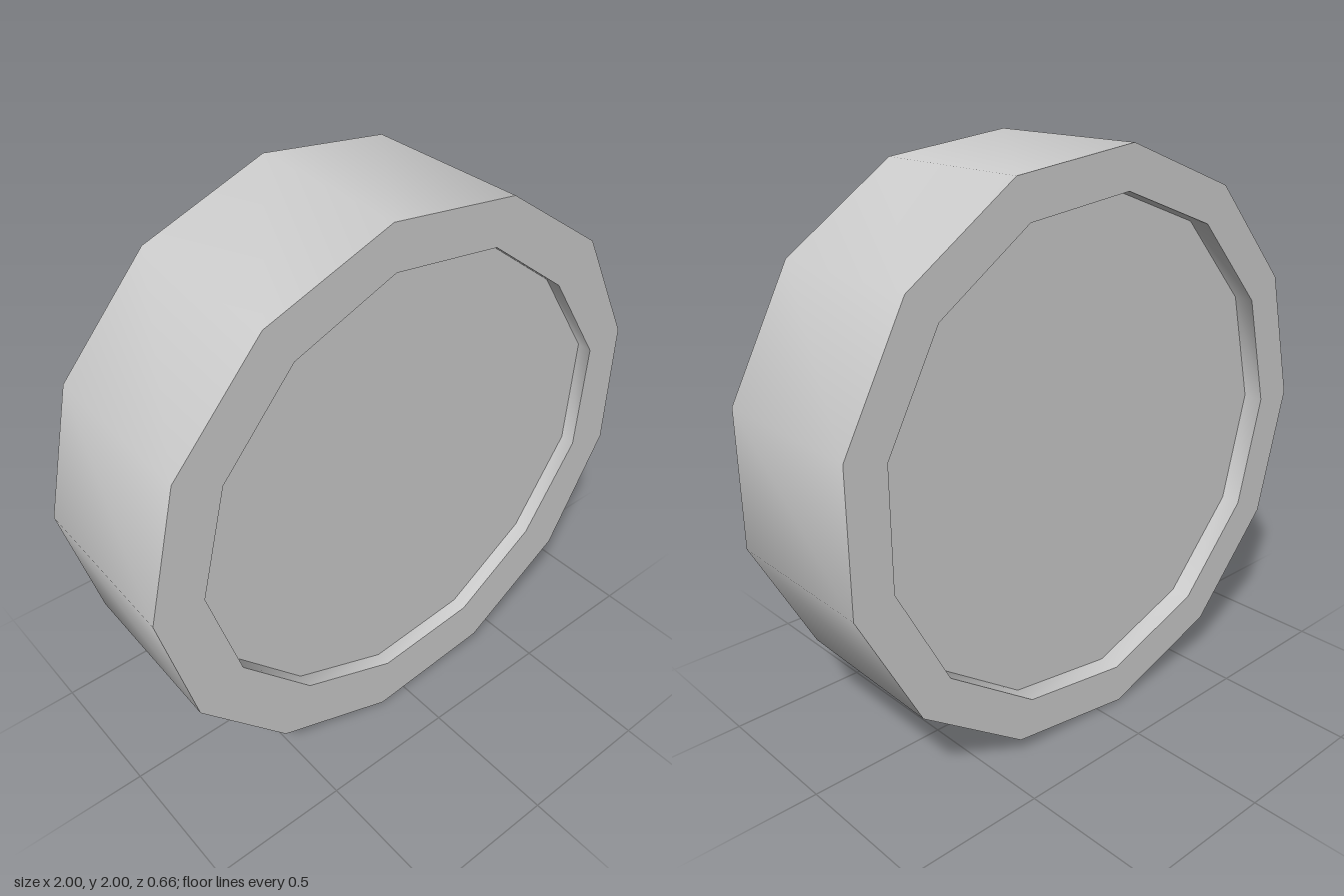
import * as THREE from 'three';

const SIDES = 13, RADIUS = 1.007, HALF = 0.31;

// regular polygon, counter-clockwise, with one corner pointing to -x
const polygon = (r) => Array.from({ length: SIDES }, (_, i) => {
  const a = Math.PI + (i / SIDES) * Math.PI * 2;
  return new THREE.Vector2(r * Math.cos(a), r * Math.sin(a));
});
const mirror = (pts) => pts.map((p) => new THREE.Vector2(-p.x, p.y)).reverse();

// smooth band around a loop: faces outward if z0 < z1, inward otherwise
function band(pts, z0, z1) {
  const pos = [], index = [], n = pts.length;
  pts.forEach((p, i) => {
    pos.push(p.x, p.y, z0, p.x, p.y, z1);
    const a = 2 * i, b = 2 * ((i + 1) % n);
    index.push(a, b, b + 1, a, b + 1, a + 1);
  });
  const g = new THREE.BufferGeometry();
  g.setAttribute('position', new THREE.Float32BufferAttribute(pos, 3));
  g.setIndex(index);
  g.computeVertexNormals();
  return g;
}

export function createModel() {
  const model = new THREE.Group();
  const disc = new THREE.Group();
  disc.name = 'disc';
  const material = new THREE.MeshStandardMaterial({ color: 0xcccccc });
  const add = (parent, name, geometry) => {
    const mesh = new THREE.Mesh(geometry, material);
    mesh.name = name;
    parent.add(mesh);
  };

  // flat rim with a shallow recess, facing +z
  function recessedFace(name, outer, hole, depth) {
    const face = new THREE.Group();
    face.name = name;
    const rim = new THREE.Shape(outer);
    rim.holes.push(new THREE.Path(hole));
    add(face, name + 'Rim', new THREE.ShapeGeometry(rim).translate(0, 0, HALF));
    add(face, name + 'RecessWall', band(hole, HALF, HALF - depth));
    add(face, name + 'RecessFloor',
      new THREE.ShapeGeometry(new THREE.Shape(hole)).translate(0, 0, HALF - depth));
    disc.add(face);
    return face;
  }

  // tread
  const outer = polygon(RADIUS);
  add(disc, 'tread', band(outer, -HALF, HALF));

  // front: slightly uneven opening
  const frontHole = [
    [-0.83, 0], [-0.72, -0.375], [-0.46, -0.655], [-0.1, -0.795], [0.285, -0.75],
    [0.6, -0.53], [0.81, -0.2], [0.83, 0.21], [0.61, 0.55], [0.295, 0.79],
    [-0.108, 0.84], [-0.473, 0.69], [-0.733, 0.385],
  ].map(([x, y]) => new THREE.Vector2(x, y));
  recessedFace('front', outer, frontHole, 0.055);

  // back: regular opening
  recessedFace('back', mirror(outer), mirror(polygon(0.86)), 0.075).rotation.y = Math.PI;

  // slight turn about the vertical
  disc.rotation.y = -0.02;
  disc.position.set(0.0147, 1, 0);
  model.add(disc);
  return model;
}
